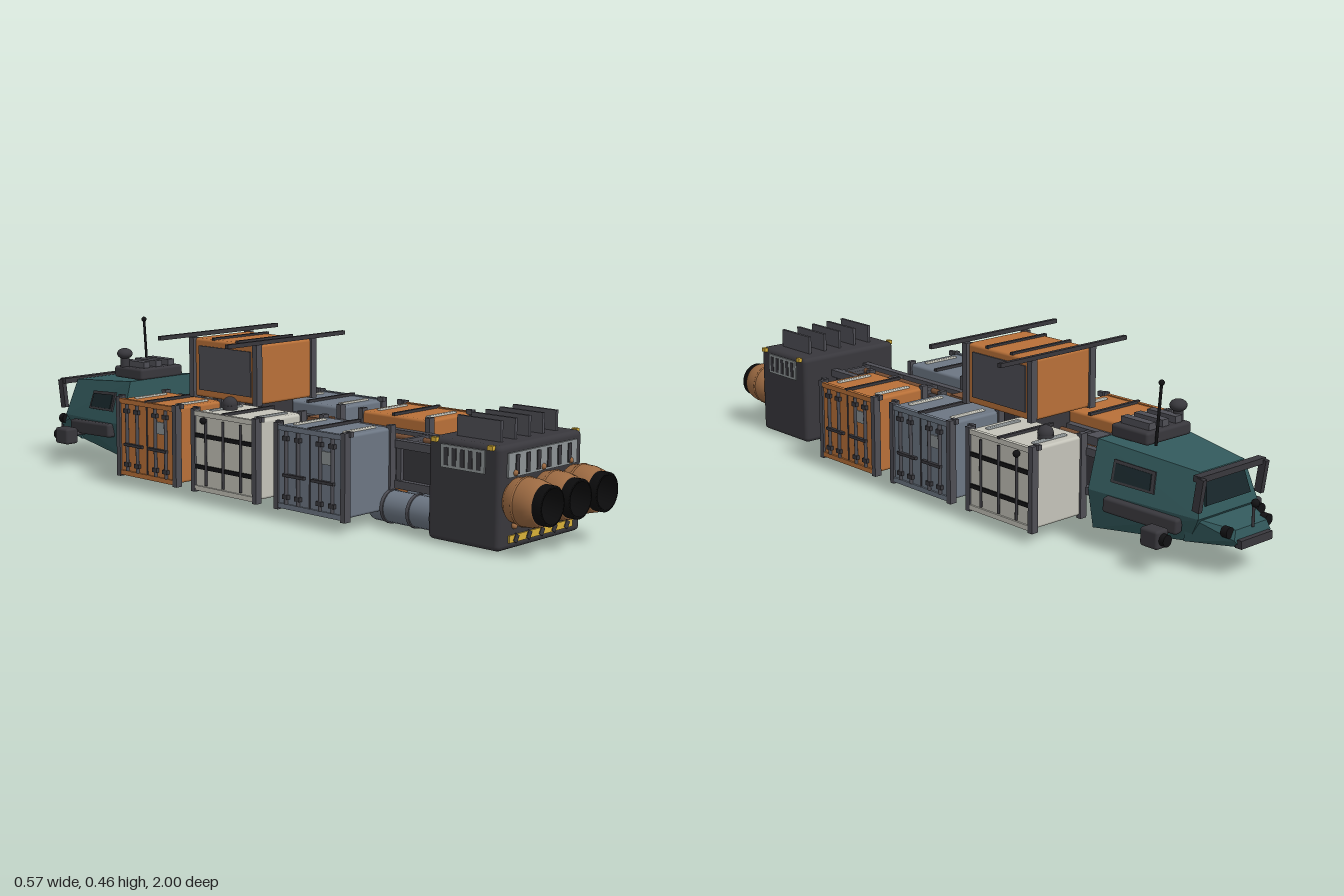
import * as THREE from 'three';
import { RoundedBoxGeometry } from 'three/addons/geometries/RoundedBoxGeometry.js';
import { ConvexGeometry } from 'three/addons/geometries/ConvexGeometry.js';

const mat = (color, flatShading = false) => new THREE.MeshStandardMaterial({ color, flatShading });
const DARK = mat(0x38373c), FRAME = mat(0x4e4e55), BLACK = mat(0x121214), ORANGE = mat(0xb87038),
  SLATE = mat(0x6c7683), WHITE = mat(0xc4c3b9), TEAL = mat(0x32595c, true), COPPER = mat(0x9c6a42),
  GRILLE = mat(0x8c9294), YELLOW = mat(0xd8b038), GLASS = mat(0x18272b), BROWN = mat(0x7a5136);

function add(parent, name, geometry, material, x = 0, y = 0, z = 0) {
  const mesh = new THREE.Mesh(geometry, material);
  mesh.name = name;
  mesh.position.set(x, y, z);
  parent.add(mesh);
  return mesh;
}
const box = (p, name, m, w, h, d, x, y, z) => add(p, name, new THREE.BoxGeometry(w, h, d), m, x, y, z);
const round = (p, name, m, w, h, d, x, y, z, r = 0.008) =>
  add(p, name, new RoundedBoxGeometry(w, h, d, 2, r), m, x, y, z);
const ball = (p, name, m, r, x, y, z) => add(p, name, new THREE.SphereGeometry(r, 16, 12), m, x, y, z);
function rod(p, name, m, r, len, axis, x, y, z) {
  const mesh = add(p, name, new THREE.CylinderGeometry(r, r, len, 20), m, x, y, z);
  if (axis === 'x') mesh.rotation.z = Math.PI / 2;
  if (axis === 'z') mesh.rotation.x = Math.PI / 2;
  return mesh;
}
function part(parent, name) {
  const g = new THREE.Group();
  g.name = name;
  parent.add(g);
  return g;
}

// Cargo container whose doors face +x
function container(parent, color, x, z, side, domeZ) {
  const g = part(parent, 'cargoContainer');
  g.position.set(x * side, 0.153, z);
  if (side < 0) g.rotation.y = Math.PI;
  round(g, 'containerBody', color, 0.19, 0.222, 0.25, 0, 0, 0);
  for (const sx of [-1, 1]) for (const sz of [-1, 1])
    box(g, 'cornerPost', FRAME, 0.022, 0.238, 0.016, sx * 0.09, 0, sz * 0.123);
  for (const sz of [-1, 1]) {
    round(g, 'roofRail', color === WHITE ? GRILLE : WHITE, 0.12, 0.008, 0.014, 0, 0.112, sz * 0.09, 0.003);
    box(g, 'roofCorner', FRAME, 0.012, 0.014, 0.02, 0.08, 0.115, sz * 0.128);
  }
  box(g, 'roofStrap', DARK, 0.2, 0.008, 0.01, 0, 0.115, 0);
  if (color === WHITE) {
    for (const y of [-0.045, 0.045]) box(g, 'doorStrap', BLACK, 0.006, 0.012, 0.23, 0.097, y, 0);
    for (const dz of [-0.07, 0.0, 0.07]) rod(g, 'lockRod', DARK, 0.004, 0.19, 'y', 0.1, 0, dz);
    rod(g, 'sensorBase', DARK, 0.022, 0.012, 'y', 0, 0.117, domeZ);
    ball(g, 'sensorDome', DARK, 0.022, 0, 0.126, domeZ);
    ball(g, 'sideLamp', BLACK, 0.01, 0.105, 0.09, domeZ);
  } else {
    for (const dz of [-0.085, -0.04, 0.04, 0.085]) {
      rod(g, 'lockRod', FRAME, 0.005, 0.2, 'y', 0.099, 0, dz);
      for (const y of [-0.08, 0.08]) box(g, 'rodBracket', DARK, 0.012, 0.012, 0.02, 0.099, y, dz);
      box(g, 'doorHandle', DARK, 0.01, 0.008, 0.04, 0.102, -0.02, dz * 0.85);
    }
    box(g, 'doorSeam', DARK, 0.004, 0.21, 0.005, 0.095, 0, 0);
    box(g, 'dataPlate', GRILLE, 0.005, 0.035, 0.035, 0.096, 0.045, -0.063);
  }
  for (const y of [-0.107, 0.107]) box(g, 'doorSill', color, 0.012, 0.014, 0.23, 0.094, y, 0);
}

// Thin pane laid on a four-cornered face; corners run around the face
function pane(parent, name, m, c, u0, u1, v0, v1) {
  const [a, b, d, e] = c.map(p => new THREE.Vector3(...p));
  const n = b.clone().sub(a).cross(e.clone().sub(a)).normalize().multiplyScalar(0.006);
  const pts = [];
  for (const u of [u0, u1]) for (const v of [v0, v1]) {
    const q = a.clone().lerp(b, u).lerp(e.clone().lerp(d, u), v);
    pts.push(q.clone().add(n), q.clone().sub(n));
  }
  add(parent, name, new ConvexGeometry(pts), m);
}

function hull(parent, name, m, halfPoints) {
  const pts = halfPoints.flatMap(([x, y, z]) => [new THREE.Vector3(x, y, z), new THREE.Vector3(-x, y, z)]);
  return add(parent, name, new ConvexGeometry(pts), m);
}

function buildEngine(root) {
  const g = part(root, 'engineBlock');
  round(g, 'engineHousing', DARK, 0.35, 0.268, 0.23, 0, 0.146, 0.765, 0.014);
  // Cooling fins and front grille
  for (let i = -2; i <= 2; i++) box(g, 'coolingFin', FRAME, 0.009, 0.06, 0.14, i * 0.058, 0.304, 0.77);
  box(g, 'frontGrille', GRILLE, 0.29, 0.062, 0.008, 0, 0.229, 0.881);
  for (let i = 0; i < 6; i++) box(g, 'grilleSlot', DARK, 0.014, 0.05, 0.006, (i - 2.5) * 0.044, 0.229, 0.885);
  // Hazard strip with slanted bars
  box(g, 'hazardStrip', YELLOW, 0.27, 0.019, 0.006, 0, 0.04, 0.881);
  for (let i = -2; i <= 2; i++)
    box(g, 'hazardBar', DARK, 0.016, 0.021, 0.004, i * 0.054, 0.04, 0.884).rotation.z = -0.5;
  // Exhaust nozzles
  const outer = [[0.047, 0], [0.058, 0.012], [0.063, 0.04], [0.062, 0.07], [0.056, 0.094], [0.049, 0.094]];
  const inner = [[0.052, 0.09], [0.052, 0.118], [0.044, 0.12], [0.039, 0.06], [0.001, 0.05]];
  const lathe = pts => new THREE.LatheGeometry(pts.map(p => new THREE.Vector2(...p)), 32);
  const liner = mat(0x0b0b0c);
  liner.side = THREE.DoubleSide;
  const shell = COPPER.clone();
  shell.side = THREE.DoubleSide;
  for (const x of [-0.117, 0, 0.117]) {
    add(g, 'nozzleShell', lathe(outer), shell, x, 0.14, 0.88).rotation.x = Math.PI / 2;
    add(g, 'nozzleLiner', lathe(inner), liner, x, 0.14, 0.88).rotation.x = Math.PI / 2;
    add(g, 'nozzleBand', new THREE.TorusGeometry(0.061, 0.004, 8, 32), COPPER, x, 0.14, 0.92);
    for (const y of [0.073, 0.208]) ball(g, 'nozzleBolt', COPPER, 0.008, x, y, 0.885);
  }
  for (const s of [-1, 1]) {
    box(g, 'sideGrille', GRILLE, 0.008, 0.06, 0.14, s * 0.175, 0.236, 0.765);
    for (let i = -2; i <= 2; i++) box(g, 'sideSlot', DARK, 0.005, 0.046, 0.014, s * 0.178, 0.236, 0.765 + i * 0.026);
    for (const z of [0.675, 0.855]) box(g, 'markerLamp', YELLOW, 0.012, 0.012, 0.016, s * 0.178, 0.275, z);
    // Fuel tanks under the spine
    rod(g, 'fuelTank', SLATE, 0.044, 0.25, 'z', s * 0.08, 0.051, 0.53);
    ball(g, 'tankCap', SLATE, 0.044, s * 0.08, 0.051, 0.405).scale.z = 0.4;
    for (const z of [0.45, 0.54, 0.62]) rod(g, 'tankBand', FRAME, 0.047, 0.01, 'z', s * 0.08, 0.051, z);
  }
}

function buildSpine(root) {
  const g = part(root, 'spine');
  box(g, 'spineBeam', DARK, 0.11, 0.1, 1.25, 0, 0.16, 0.04);
  for (const s of [-1, 1]) {
    for (const y of [0.11, 0.22]) box(g, 'sideRail', FRAME, 0.022, 0.022, 1.25, s * 0.062, y, 0.04);
    rod(g, 'fuelLine', BROWN, 0.008, 1.2, 'z', s * 0.033, 0.217, 0.04);
  }
  for (let i = 0; i < 8; i++) {
    const z = -0.52 + i * 0.163;
    box(g, 'crossTie', FRAME, 0.14, 0.016, 0.014, 0, 0.222, z);
    box(g, 'sideBrace', FRAME, 0.132, 0.11, 0.016, 0, 0.165, z);
  }
  box(g, 'valveBox', BROWN, 0.05, 0.035, 0.06, 0, 0.228, 0.11);
  box(g, 'junctionBox', FRAME, 0.055, 0.035, 0.045, 0, 0.23, -0.44);
  for (const z of [-0.335, -0.01, 0.32]) box(g, 'cargoMount', DARK, 0.17, 0.035, 0.1, 0, 0.16, z);
}

function buildTopCargo(root) {
  const g = part(root, 'topContainer');
  g.position.set(0, 0.36, -0.165);
  round(g, 'containerBody', ORANGE, 0.224, 0.172, 0.27, 0, 0, 0);
  box(g, 'containerCradle', DARK, 0.13, 0.06, 0.2, 0, -0.11, 0);
  for (const s of [-1, 1]) {
    box(g, 'endPanel', FRAME, 0.008, 0.13, 0.215, s * 0.112, 0, 0);
    for (const t of [-1, 1]) box(g, 'cornerPost', FRAME, 0.022, 0.175, 0.018, s * 0.112, 0, t * 0.132);
    box(g, 'lashingPole', DARK, 0.48, 0.012, 0.012, 0, 0.094, s * 0.14);
    box(g, 'roofStrap', DARK, 0.225, 0.008, 0.01, 0, 0.088, s * 0.05);
  }
}

function buildCab(root) {
  const g = part(root, 'cab');
  hull(g, 'cabHull', TEAL, [[0.145, 0.05, -0.565], [0.165, 0.16, -0.565], [0.13, 0.29, -0.565],
    [0.09, 0.075, -0.85], [0.115, 0.15, -0.9], [0.085, 0.262, -0.875]]);
  hull(g, 'cabNose', TEAL, [[0.1, 0.075, -0.84], [0.112, 0.15, -0.86], [0.05, 0.085, -0.985],
    [0.07, 0.105, -0.98], [0.06, 0.13, -0.975]]);
  pane(g, 'windscreen', GLASS, [[-0.115, 0.15, -0.9], [0.115, 0.15, -0.9], [0.085, 0.262, -0.875],
    [-0.085, 0.262, -0.875]], 0.1, 0.9, 0.25, 0.85);
  box(g, 'bumper', DARK, 0.12, 0.022, 0.02, 0, 0.095, -0.985);
  box(g, 'browBar', DARK, 0.25, 0.016, 0.025, 0, 0.258, -0.9);
  ball(g, 'noseLamp', BLACK, 0.011, 0, 0.19, -0.985);
  rod(g, 'noseLampStem', DARK, 0.004, 0.06, 'y', 0, 0.157, -0.98);
  for (const s of [-1, 1]) {
    const face = [[s * 0.165, 0.16, -0.565], [s * 0.115, 0.15, -0.9], [s * 0.085, 0.262, -0.875], [s * 0.13, 0.29, -0.565]];
    pane(g, 'windowFrame', DARK, face, 0.2, 0.6, 0.26, 0.72);
    pane(g, 'sideWindow', GLASS, face.map(p => [p[0] + s * 0.003, p[1], p[2]]), 0.23, 0.57, 0.32, 0.66);
    const strip = round(g, 'sideFairing', DARK, 0.03, 0.042, 0.23, s * 0.142, 0.128, -0.735);
    strip.rotation.set(-0.06, s * 0.15, 0);
    round(g, 'thrusterPod', DARK, 0.046, 0.05, 0.06, s * 0.182, 0.1, -0.815);
    rod(g, 'thrusterNozzle', BLACK, 0.016, 0.02, 'z', s * 0.182, 0.1, -0.85);
    rod(g, 'podArm', FRAME, 0.01, 0.08, 'x', s * 0.145, 0.105, -0.81);
    const post = box(g, 'browPost', DARK, 0.014, 0.09, 0.022, s * 0.12, 0.217, -0.905);
    post.rotation.x = -0.15;
    rod(g, 'headlamp', BLACK, 0.015, 0.02, 'z', s * 0.075, 0.125, -0.96);
  }
  // Roof equipment
  round(g, 'roofUnit', DARK, 0.17, 0.035, 0.13, 0, 0.305, -0.63);
  for (const x of [-0.05, 0, 0.05]) box(g, 'roofVent', FRAME, 0.025, 0.022, 0.1, x, 0.33, -0.63);
  rod(g, 'radarStem', DARK, 0.014, 0.04, 'y', -0.07, 0.34, -0.66);
  ball(g, 'radarDome', DARK, 0.024, -0.07, 0.362, -0.66).scale.y = 0.7;
  rod(g, 'antenna', BLACK, 0.004, 0.17, 'y', 0.055, 0.37, -0.705).rotation.x = -0.08;
  ball(g, 'antennaTip', BLACK, 0.008, 0.055, 0.455, -0.712);
}

export function createModel() {
  const root = new THREE.Group();
  root.name = 'cargoHauler';
  buildEngine(root);
  buildSpine(root);
  // Side cargo: z position, colour on +x, colour on -x
  for (const [z, right, left] of [[-0.335, WHITE, ORANGE], [-0.01, SLATE, WHITE], [0.32, ORANGE, SLATE]]) {
    container(root, right, 0.17, z, 1, -0.075);
    container(root, left, 0.17, z, -1, 0.075);
  }
  buildTopCargo(root);
  buildCab(root);
  return root;
}
